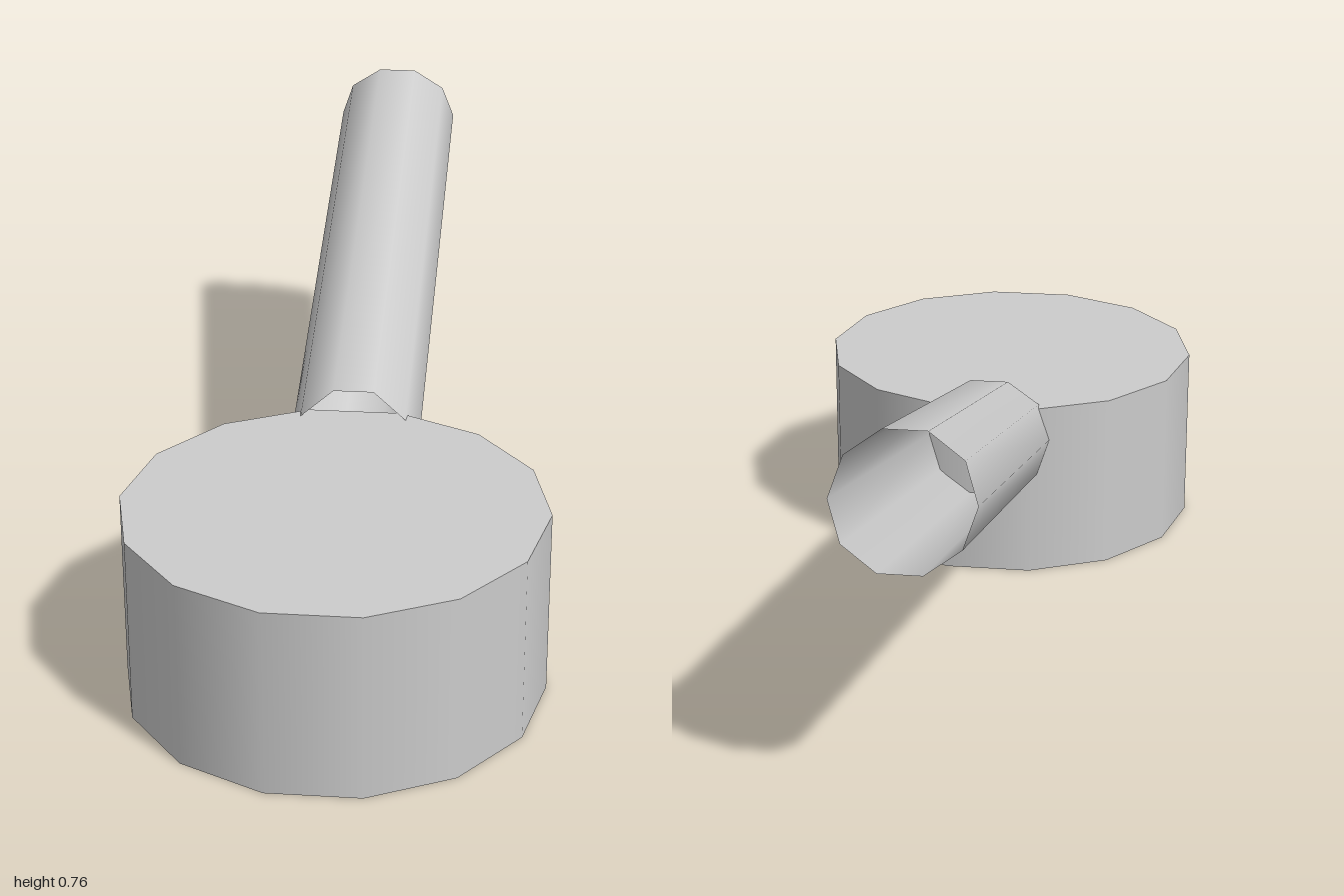
import * as THREE from 'three';

const TILT = 0.275; // upward slope of the handle, radians

export function createModel() {
  const model = new THREE.Group();
  const gray = new THREE.MeshStandardMaterial({ color: 0xcccccc, side: THREE.DoubleSide });
  gray.name = 'light gray';

  // Closed fourteen-sided drum, standing on the ground
  const body = new THREE.Mesh(
    new THREE.CylinderGeometry(0.422, 0.422, 0.39, 14, 1, false, Math.PI / 2), gray);
  body.name = 'body';
  body.position.set(0, 0.195, 0.589);
  model.add(body);

  // Open ten-sided tube, rising towards the back
  const length = 1.2;
  const tube = new THREE.CylinderGeometry(0.135, 0.135, length, 10, 1, true, Math.PI / 2);
  tube.translate(0, -length / 2, 0);
  const pos = tube.attributes.position;
  const isFront = Array.from({ length: pos.count }, (_, i) => pos.getY(i) < -length / 2);
  tube.rotateX(TILT - Math.PI / 2);
  tube.translate(0, 0.6405, -0.965);

  // Slide the front rim along the tube so that it follows the curve of the drum
  for (let i = 0; i < pos.count; i++) {
    if (!isFront[i]) continue;
    const x = pos.getX(i);
    const z = 0.589 - Math.sqrt(0.393 ** 2 - x * x);
    const slide = z - pos.getZ(i);
    pos.setY(i, pos.getY(i) - slide * Math.tan(TILT));
    pos.setZ(i, z);
  }
  const handle = new THREE.Mesh(tube, gray);
  handle.name = 'handle';
  model.add(handle);

  return model;
}
